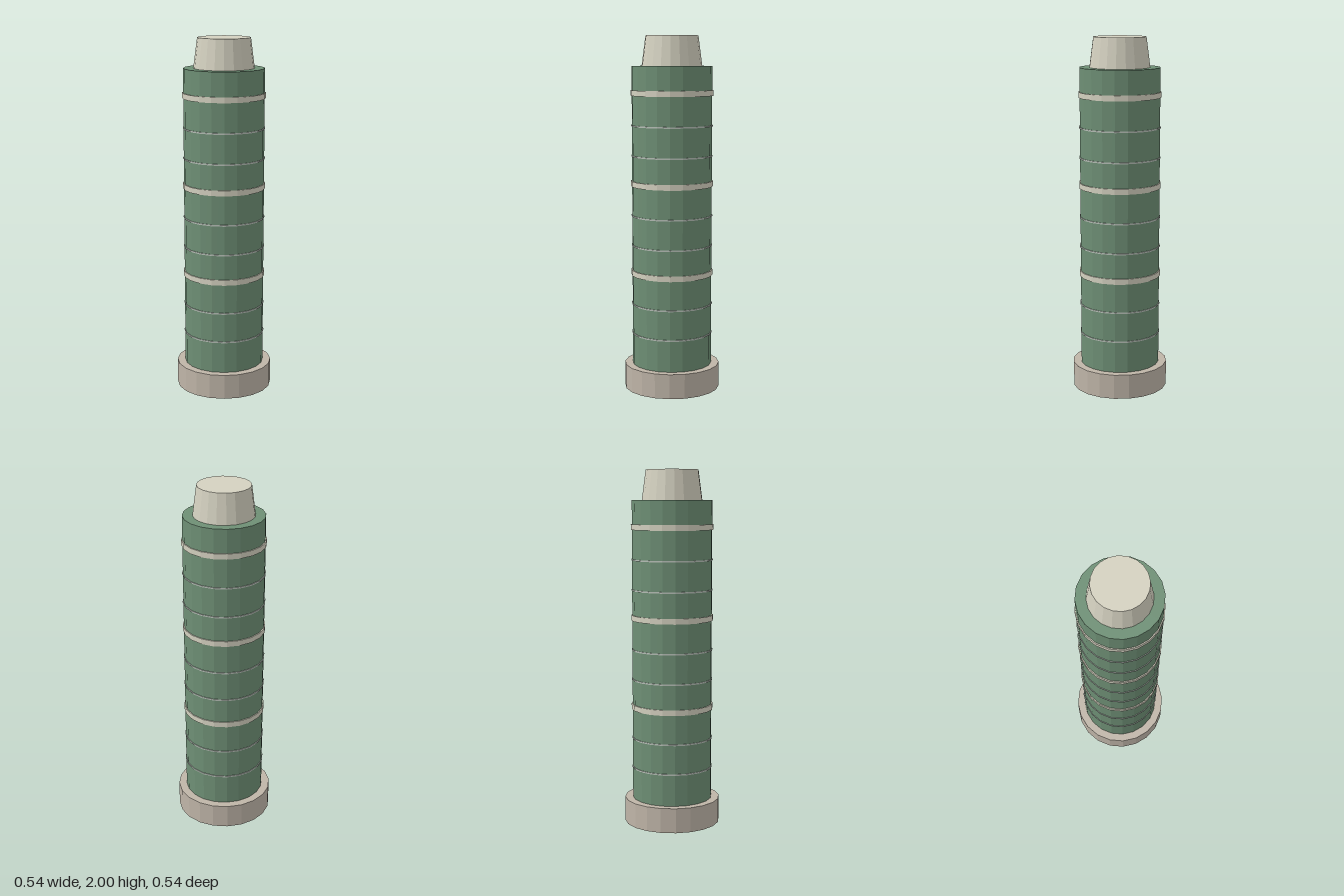
import * as THREE from 'three';

const SIDES = 20;
const material = (color) => new THREE.MeshStandardMaterial({ color, flatShading: true });

export function createModel() {
  const model = new THREE.Group();
  const stone = material(0xbfb5a8);
  const green = material(0x6e8f75);
  const cream = material(0xd4d1c0);
  const silver = material(0xb8c0b8);

  // Faceted drum standing on the given height
  const drum = (name, bottomRadius, topRadius, bottom, top, mat) => {
    const geometry = new THREE.CylinderGeometry(topRadius, bottomRadius, top - bottom, SIDES);
    const mesh = new THREE.Mesh(geometry, mat);
    mesh.name = name;
    mesh.position.y = (bottom + top) / 2;
    model.add(mesh);
  };

  drum('base', 0.27, 0.27, 0, 0.14, stone);
  drum('towerBody', 0.225, 0.225, 0.14, 1.833, green);
  drum('crown', 0.169, 0.147, 1.833, 2, cream);

  // Floor lines up the tower: every third one is a wide band
  for (let i = 0; i < 9; i++) {
    const y = 0.32 + i * 0.1689;
    if (i % 3 === 2) drum('wideBand', 0.231, 0.231, y - 0.003, y + 0.028, cream);
    else drum('thinRing', 0.229, 0.229, y - 0.004, y + 0.004, silver);
  }
  return model;
}
